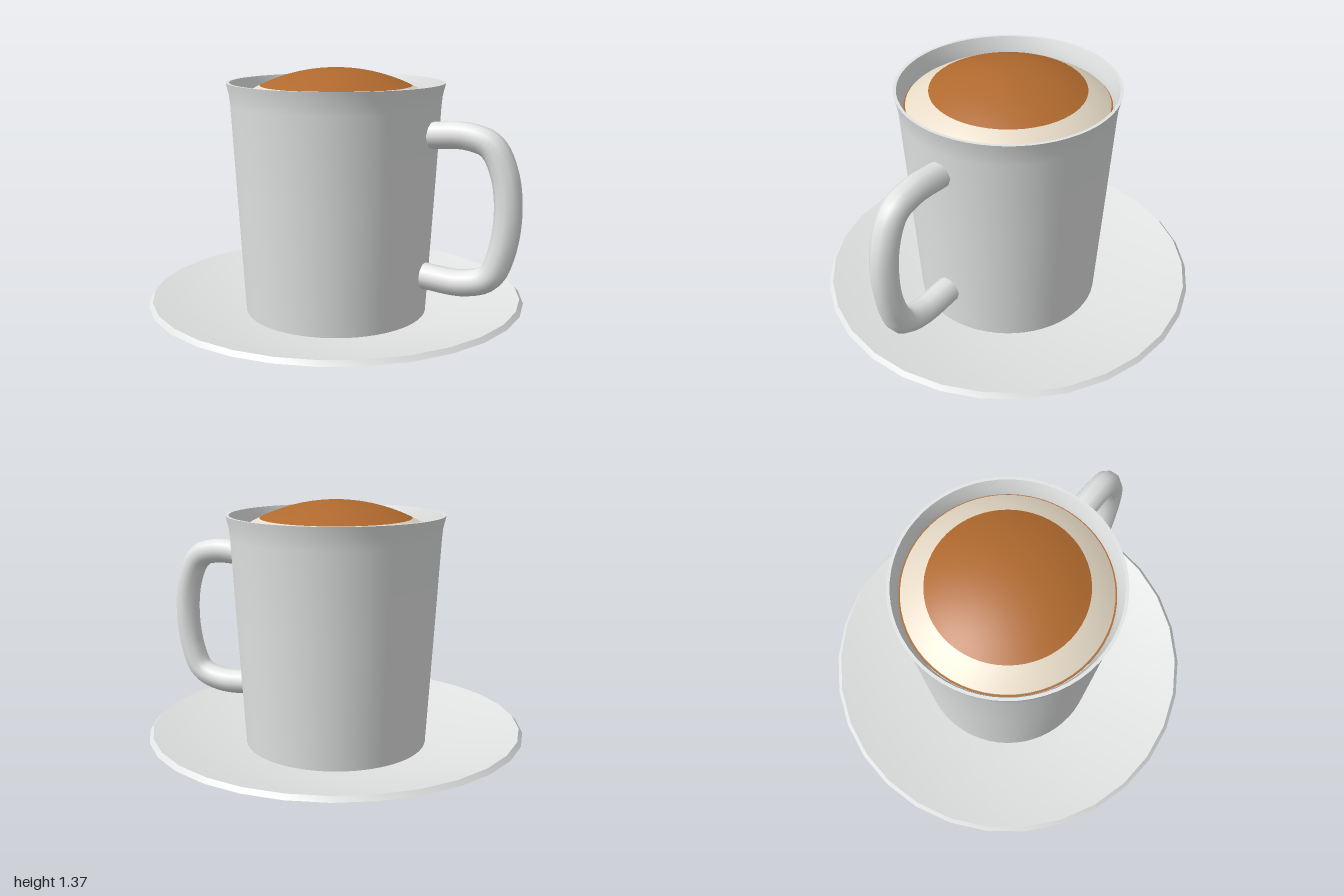
import * as THREE from 'three';
import { toCreasedNormals } from 'three/addons/utils/BufferGeometryUtils.js';

const mat = (name, color) => Object.assign(new THREE.MeshStandardMaterial({ color }), { name });

export function createModel() {
  const group = new THREE.Group();
  const ceramic = mat('white ceramic', 0xe2e4e3);
  const foamMat = mat('cream foam', 0xe8dcc8);
  const coffeeMat = mat('coffee brown', 0xb16a2e);
  const centreX = -0.003;

  const add = (name, geometry, material) => {
    const mesh = new THREE.Mesh(geometry, material);
    mesh.name = name;
    group.add(mesh);
    return mesh;
  };
  // Turned part from [radius, y] pairs, running up the outside
  const turned = (name, profile, segments, material) => {
    const points = profile.map(([r, y]) => new THREE.Vector2(r, y));
    const geometry = toCreasedNormals(new THREE.LatheGeometry(points, segments), 0.5);
    add(name, geometry, material).position.x = centreX;
  };

  // Saucer with a flat foot and a shallow dished top
  turned('saucer', [
    [0, 0], [0.6, 0], [0.62, 0.04], [0.995, 0.152], [0.975, 0.175], [0.56, 0.08], [0, 0.08],
  ], 30, ceramic);

  // Tapered cup with a flared lip and hollow top
  turned('cup', [
    [0, 0.081], [0.483, 0.081], [0.49, 0.2], [0.518, 0.7], [0.544, 1.18], [0.549, 1.23],
    [0.564, 1.295], [0.548, 1.295], [0.53, 1.24], [0.518, 1.18], [0.47, 0.2], [0, 0.15],
  ], 60, ceramic);

  // Coffee just below the foam
  turned('coffee', [[0.519, 1.2], [0, 1.2]], 60, coffeeMat);

  // Domed foam, split into a cream ring and a brown centre
  const domeRadius = 0.91;
  const dome = (from, to, steps) => Array.from({ length: steps + 1 }, (_, i) => {
    const r = from + (to - from) * i / steps;
    return [r, 1.366 - domeRadius + Math.sqrt(domeRadius ** 2 - r ** 2)];
  });
  turned('foamRing', [[0.51, 1.19], ...dome(0.51, 0.393, 4)], 60, foamMat);
  turned('foamCentre', dome(0.393, 0, 8), 60, coffeeMat);

  // Handle tube with closed ends
  const path = new THREE.CatmullRomCurve3([
    [0.53, 1.053], [0.72, 1.06], [0.84, 1.02], [0.91, 0.89], [0.935, 0.69],
    [0.905, 0.48], [0.85, 0.367], [0.72, 0.32], [0.505, 0.326],
  ].map(([x, y]) => new THREE.Vector3(x, y, 0)));
  const tubeRadius = 0.068;
  add('handle', new THREE.TubeGeometry(path, 48, tubeRadius, 10), ceramic);
  [0, 1].forEach((t) => {
    const cap = add('handleEnd', new THREE.CircleGeometry(tubeRadius, 10), ceramic);
    const outward = path.getTangentAt(t).multiplyScalar(t === 0 ? -1 : 1);
    cap.position.copy(path.getPointAt(t));
    cap.lookAt(cap.position.clone().add(outward));
    cap.rotateZ(t === 0 ? 0 : Math.PI);
  });

  return group;
}
